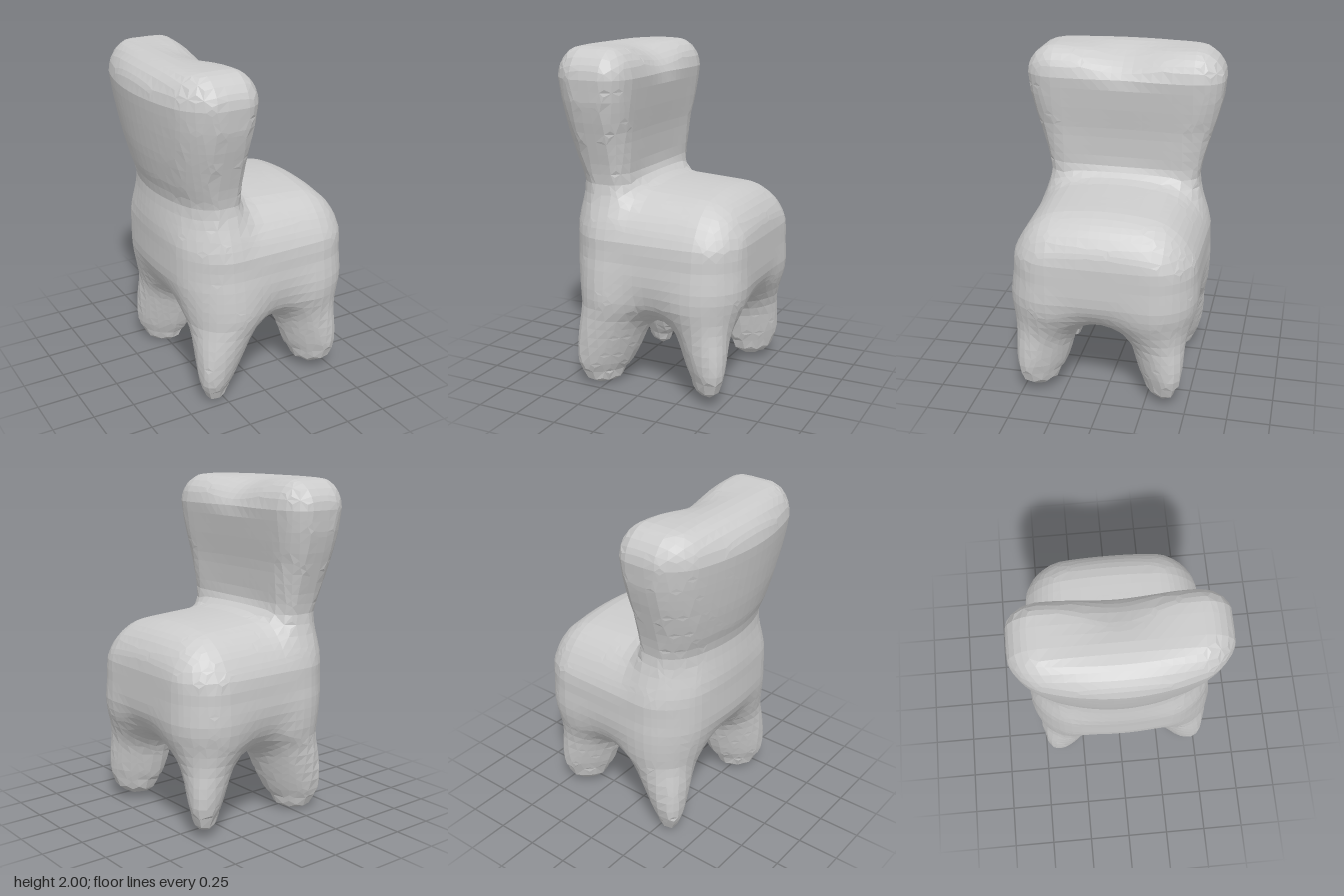
import * as THREE from 'three';

const { lerp, clamp, smoothstep } = THREE.MathUtils;

// Straight interpolation through [y, value] pairs
function profile(points, y) {
  if (y <= points[0][0]) return points[0][1];
  for (let i = 1; i < points.length; i++) {
    const [y0, v0] = points[i - 1], [y1, v1] = points[i];
    if (y <= y1) return lerp(v0, v1, (y - y0) / (y1 - y0));
  }
  return points[points.length - 1][1];
}

// Signed distance to a rounded box
function roundBox(x, y, z, hx, hy, hz, r) {
  const a = Math.abs(x) - hx + r, b = Math.abs(y) - hy + r, c = Math.abs(z) - hz + r;
  return Math.hypot(Math.max(a, 0), Math.max(b, 0), Math.max(c, 0)) + Math.min(Math.max(a, b, c), 0) - r;
}

// Pair of legs from foot to hip: the foot is pinched, drawn out towards the corner of the seat
function legPair(x, y, z, foot, hip, footRadius, hipRadius) {
  const t = clamp((y - foot[1]) / (hip[1] - foot[1]), 0, 1);
  const dx = (x - lerp(foot[0], hip[0], t)) * Math.sign(foot[0]);
  const dz = Math.abs(z - 0.025) - lerp(foot[2], hip[2], t);
  const stretch = lerp(1.35, 1, t);
  const out = (dx + dz) * Math.SQRT1_2 / stretch;
  const across = (dx - dz) * Math.SQRT1_2 * stretch;
  const dy = y - clamp(y, foot[1], hip[1]);
  return (Math.hypot(out, dy, across) - lerp(footRadius, hipRadius, t ** 0.65)) / stretch;
}

const blend = (a, b, k) => {
  const h = Math.max(k - Math.abs(a - b), 0) / k;
  return Math.min(a, b) - h * h * k / 4;
};

// Backrest: centre, half thickness and half width by height
const backCentre = [[1.0, -0.29], [1.25, -0.3], [1.35, -0.313], [1.5, -0.325], [1.85, -0.325]];
const backThick = [[1.0, 0.16], [1.25, 0.18], [1.35, 0.202], [1.5, 0.225], [1.65, 0.25], [1.82, 0.275]];
const backWidth = [[1.0, 0.44], [1.25, 0.455], [1.35, 0.477], [1.5, 0.52], [1.6, 0.55], [1.7, 0.575], [1.84, 0.59]];

const parts = {
  // Domed top, back corners drawn in
  seat: (x, y, z) => {
    const dome = 0.3 * z * z * smoothstep(y, 0.75, 1.0);
    const bow = x < 0.045 ? 1 - 0.14 * Math.min((z / 0.54) ** 2, 1) : 1;
    return roundBox((x - 0.045) / bow, y - 0.865 + 0.06 * x + dome, z - 0.005, 0.545, 0.35, 0.54, 0.26);
  },
  // Bowed slab, hollowed along the middle of its front top edge
  backrest: (x, y, z) => {
    const w = profile(backWidth, y), s = Math.min((z / w) ** 2, 1);
    const thick = profile(backThick, y) * (1 - 0.26 * s);
    const centre = profile(backCentre, y) + 0.065 * s;
    const dip = 0.06 * Math.exp(-((z / 0.2) ** 2)) * smoothstep(y, 1.5, 1.9) * smoothstep(x, -0.38, -0.1);
    return roundBox((x - centre) * 0.275 / thick, y + dip - 1.5, z * 0.59 / w, 0.275, 0.5, 0.59, 0.18) * thick / 0.275;
  },
  backLegs: (x, y, z) => legPair(x, y, z, [-0.275, 0.1, 0.37], [-0.19, 0.53, 0.32], 0.1, 0.22),
  frontLegs: (x, y, z) => legPair(x, y, z, [0.385, 0.145, 0.36], [0.33, 0.55, 0.32], 0.105, 0.19),
};

// All parts melted into one soft body
function field(x, y, z) {
  const body = blend(parts.seat(x, y, z), parts.backrest(x, y, z), 0.12);
  const legs = blend(parts.backLegs(x, y, z), parts.frontLegs(x, y, z), 0.26);
  return blend(body, legs, 0.18);
}

// Skin the body with facets, sorted by the part each one lies on
function skin(step) {
  const origin = [-0.75, -0.12, -0.75];
  const n = [1.5, 2.28, 1.5].map((s) => Math.ceil(s / step) + 1);
  const stride = [1, n[0], n[0] * n[1]];
  const at = (i) => [i % n[0], Math.floor(i / n[0]) % n[1], Math.floor(i / stride[2])];
  const pos = (c) => c.map((v, k) => origin[k] + v * step);
  const total = n[0] * n[1] * n[2];
  const values = new Float32Array(total);
  for (let i = 0; i < total; i++) values[i] = field(...pos(at(i)));

  // One point per crossed cell, settled onto the surface
  const cache = new Map();
  const cellPoint = (cell) => {
    if (cache.has(cell)) return cache.get(cell);
    const sum = [0, 0, 0], base = at(cell);
    let count = 0;
    for (let corner = 0; corner < 8; corner++) {
      for (let a = 0; a < 3; a++) {
        if (corner & (1 << a)) continue;
        const off = [corner & 1, (corner >> 1) & 1, corner >> 2];
        const i = cell + off[0] + off[1] * stride[1] + off[2] * stride[2];
        const v0 = values[i], v1 = values[i + stride[a]];
        if (v0 < 0 === v1 < 0) continue;
        off[a] += v0 / (v0 - v1);
        off.forEach((o, k) => { sum[k] += base[k] + o; });
        count++;
      }
    }
    const p = pos(sum.map((s) => s / count));
    for (let pass = 0; pass < 2; pass++) {
      const e = 0.005, f = field(...p);
      const g = p.map((_, k) => {
        const q = [...p];
        q[k] += e;
        return (field(...q) - f) / e;
      });
      const len = Math.max(g[0] ** 2 + g[1] ** 2 + g[2] ** 2, 0.3);
      g.forEach((d, k) => { p[k] -= clamp(f * d / len, -step / 3, step / 3); });
    }
    cache.set(cell, p);
    return p;
  };

  const facets = Object.fromEntries(Object.keys(parts).map((name) => [name, []]));
  for (let i = 0; i < total; i++) {
    const c = at(i);
    for (let a = 0; a < 3; a++) {
      const u = (a + 1) % 3, v = (a + 2) % 3;
      if (c[a] + 1 >= n[a] || c[u] < 1 || c[v] < 1) continue;
      const inside = values[i] < 0;
      if (inside === values[i + stride[a]] < 0) continue;
      const quad = [i - stride[u] - stride[v], i - stride[v], i, i - stride[u]].map(cellPoint);
      if (!inside) quad.reverse();
      const mid = [0, 1, 2].map((k) => (quad[0][k] + quad[1][k] + quad[2][k] + quad[3][k]) / 4);
      const name = Object.keys(parts).reduce((m, p) => (parts[p](...mid) < parts[m](...mid) ? p : m));
      for (const k of [0, 1, 2, 0, 2, 3]) facets[name].push(...quad[k]);
    }
  }
  return facets;
}

export function createModel() {
  const group = new THREE.Group();
  group.name = 'softChair';
  const material = new THREE.MeshStandardMaterial({ color: 0xcccccc, flatShading: true });
  for (const [name, points] of Object.entries(skin(0.06))) {
    const geometry = new THREE.BufferGeometry();
    geometry.setAttribute('position', new THREE.Float32BufferAttribute(points, 3));
    geometry.computeVertexNormals();
    const mesh = new THREE.Mesh(geometry, material);
    mesh.name = name;
    group.add(mesh);
  }
  return group;
}
